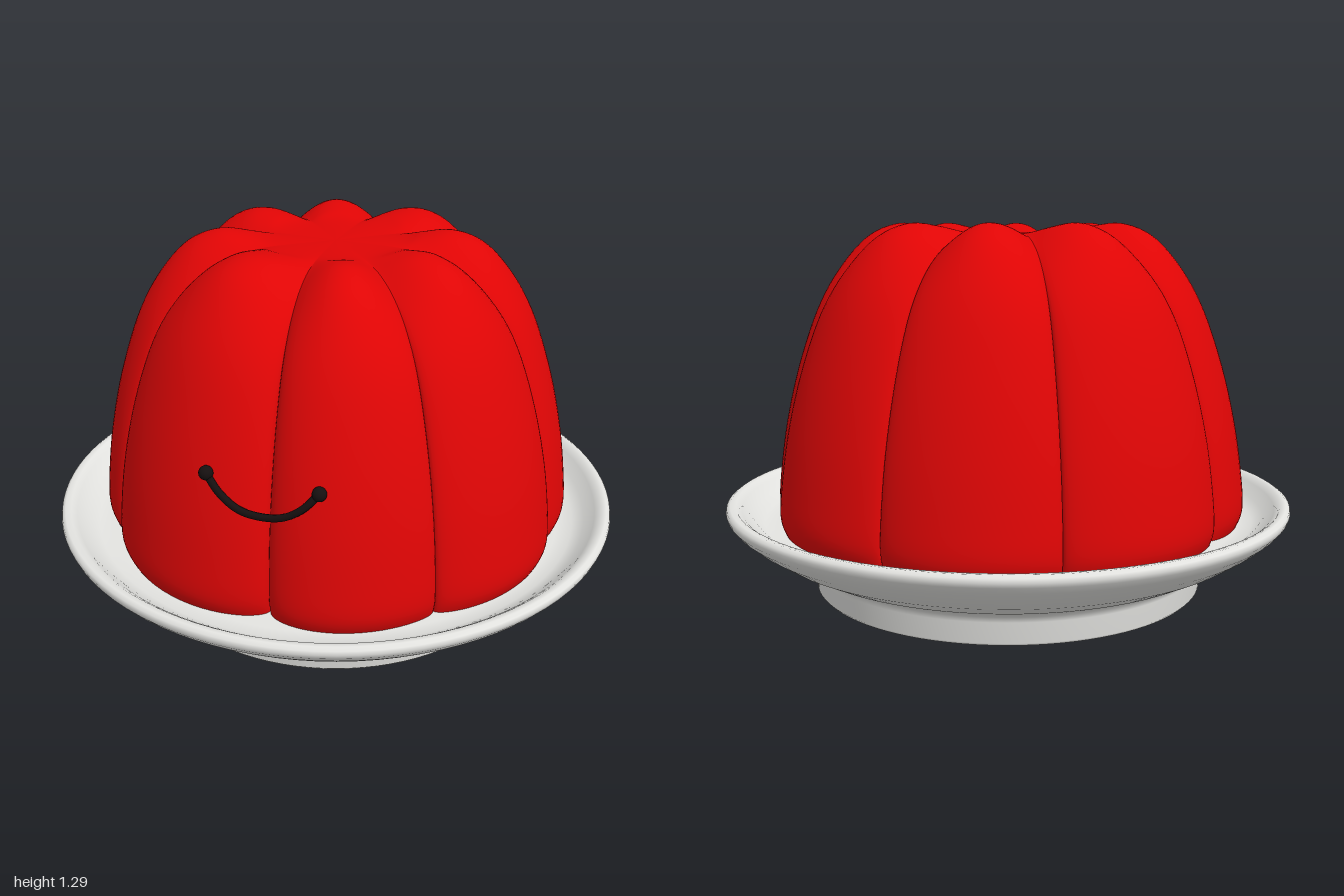
import * as THREE from 'three';
import { mergeGeometries } from 'three/addons/utils/BufferGeometryUtils.js';

const v2 = (list) => list.map(([x, y]) => new THREE.Vector2(x, y));

// Matching profiles (radius, height): along a lobe's crest and along a groove
const crest = new THREE.SplineCurve(v2([
  [0.81, 0.23], [0.838, 0.3], [0.83, 0.42], [0.802, 0.6], [0.753, 0.8], [0.682, 1.0],
  [0.602, 1.14], [0.505, 1.245], [0.4, 1.288], [0.3, 1.28], [0.21, 1.26], [0, 1.255]]));
const groove = new THREE.SplineCurve(v2([
  [0.76, 0.23], [0.775, 0.3], [0.768, 0.42], [0.74, 0.6], [0.687, 0.8], [0.61, 1.0],
  [0.53, 1.12], [0.44, 1.195], [0.35, 1.235], [0.27, 1.25], [0.19, 1.255], [0, 1.255]]));

// Groove directions in degrees, from +x towards +z; the front one is deeper
const grooveAngles = [0, 44, 84, 139, 180, 227, 269, 318, 360];
const grooveDepth = [1, 1, 0.95, 1, 1, 1, 1, 1, 1];

function lobeGeometry(k) {
  const rows = 56, cols = 28, pos = [], index = [];
  for (let i = 0; i <= rows; i++) {
    const t = i / rows;
    const c = crest.getPoint(t), g = groove.getPoint(t);
    // Creased grooves low down, soft ones near the top
    const power = THREE.MathUtils.lerp(0.45, 1.2, THREE.MathUtils.smoothstep(t, 0.38, 0.78));
    for (let j = 0; j <= cols; j++) {
      const u = (1 - Math.cos(Math.PI * j / cols)) / 2;
      const a = THREE.MathUtils.degToRad(
        THREE.MathUtils.lerp(grooveAngles[k], grooveAngles[k + 1], u));
      const bulge = Math.pow(Math.max(0, Math.sin(Math.PI * u)), power);
      const depth = THREE.MathUtils.lerp(grooveDepth[k], grooveDepth[k + 1], u);
      const r = THREE.MathUtils.lerp(g.x * depth, c.x, bulge);
      pos.push(r * Math.cos(a), THREE.MathUtils.lerp(g.y, c.y, bulge), r * Math.sin(a));
      if (i < rows && j < cols) {
        const p = i * (cols + 1) + j, up = p + cols + 1;
        index.push(p, up, p + 1, p + 1, up, up + 1);
      }
    }
  }
  const geo = new THREE.BufferGeometry();
  geo.setAttribute('position', new THREE.Float32BufferAttribute(pos, 3));
  geo.setIndex(index);
  geo.computeVertexNormals();
  return geo;
}

export function createModel() {
  const model = new THREE.Group();
  const material = (name, color) => {
    const m = new THREE.MeshStandardMaterial({ color });
    m.name = name;
    return m;
  };
  const red = material('jelly red', 0xe00505);
  const white = material('plate white', 0xe4e4e1);
  const black = material('smile black', 0x161010);

  const add = (parent, name, geo, mat) => {
    const mesh = new THREE.Mesh(geo, mat);
    mesh.name = name;
    parent.add(mesh);
    return mesh;
  };

  // Footed plate with a flared rim and shallow floor
  const plate = v2([
    [0, 0], [0.67, 0], [0.685, 0.003], [0.693, 0.012], [0.695, 0.08], [0.703, 0.1],
    [0.72, 0.115], [0.77, 0.135], [0.86, 0.182], [0.93, 0.23], [0.975, 0.268],
    [0.995, 0.292], [1, 0.307], [0.997, 0.32], [0.985, 0.328], [0.965, 0.326],
    [0.945, 0.31], [0.91, 0.275], [0.87, 0.255], [0.82, 0.25], [0, 0.25]]);
  add(model, 'plate', new THREE.LatheGeometry(plate, 96), white);

  // Moulded jelly of eight lobes
  const lobes = grooveAngles.slice(0, -1).map((_, k) => lobeGeometry(k));
  add(model, 'jelly', mergeGeometries(lobes), red);

  // Smile bridging the front groove, with a round dimple at each end
  const smile = new THREE.Group();
  smile.name = 'smile';
  const path = new THREE.CatmullRomCurve3([
    [-0.11, 0.73, 0.765], [-0.065, 0.675, 0.772], [0, 0.63, 0.773], [0.075, 0.617, 0.766],
    [0.145, 0.63, 0.763], [0.205, 0.668, 0.756], [0.25, 0.718, 0.734]
  ].map((p) => new THREE.Vector3(...p)));
  add(smile, 'smileLine', new THREE.TubeGeometry(path, 40, 0.012, 8), black);
  for (const t of [0, 1]) {
    add(smile, 'smileEnd', new THREE.SphereGeometry(0.023, 16, 12), black)
      .position.copy(path.getPoint(t));
  }
  model.add(smile);

  return model;
}
